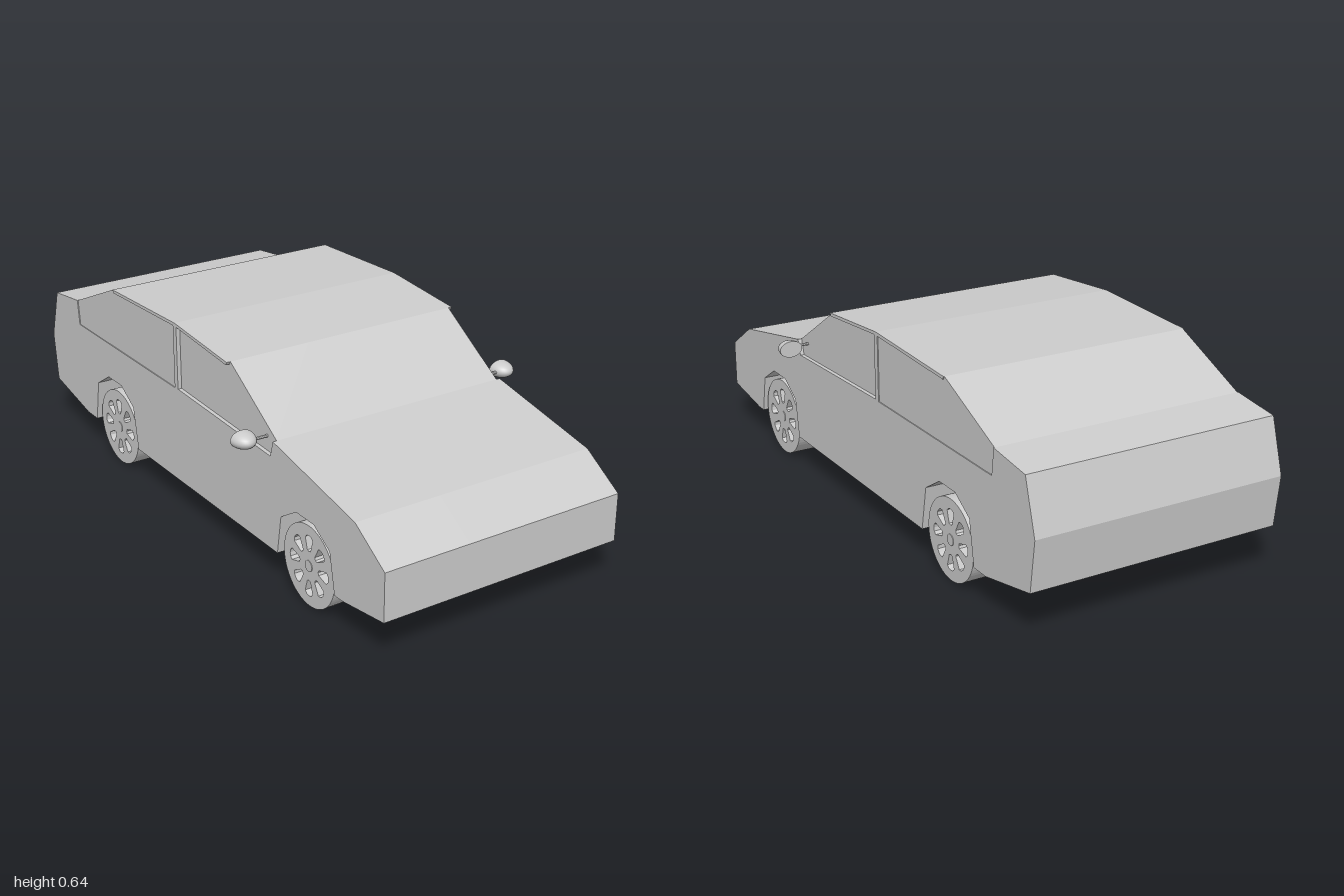
import * as THREE from 'three';

const mat = new THREE.MeshStandardMaterial({ color: 0xcccccc, flatShading: true });
const smooth = new THREE.MeshStandardMaterial({ color: 0xcccccc, side: THREE.DoubleSide });

function add(parent, name, geometry, material = mat) {
  const mesh = new THREE.Mesh(geometry, material);
  mesh.name = name;
  parent.add(mesh);
  return mesh;
}

// Extrude an outline given in (z, y) across the car from x0 to x1
function slab(points, x0, x1) {
  const shape = new THREE.Shape(points.map(([z, y]) => new THREE.Vector2(z, y)));
  const g = new THREE.ExtrudeGeometry(shape, { depth: x1 - x0, bevelEnabled: false });
  return g.rotateY(-Math.PI / 2).translate(x1, 0, 0);
}

const HALF = 0.42, GLASS = 0.407, REAR_GLASS = 0.417, WELL = 0.13;

// Side outline, split so that window openings and wheel arches can be inserted
const nose = [[1, 0.135], [1, 0.29], [0.86, 0.38], [0.45, 0.46]];
const roofFront = [[0.2, 0.62], [-0.11, 0.645]];
const roofRear = [[-0.52, 0.63]];
const tail = [[-0.79, 0.51], [-0.95, 0.49], [-1, 0.32], [-0.98, 0.155], [-0.75, 0.107]];
const frontWindow = [[0.435, 0.409], [-0.1, 0.427], [-0.1, 0.634], [0.195, 0.61]];
const rearWindow = [[-0.515, 0.62], [-0.12, 0.634], [-0.12, 0.425], [-0.78, 0.425]];
const arches = [
  [-0.685, 0.107], [-0.66, 0.25], [-0.58, 0.3], [-0.49, 0.3], [-0.41, 0.25], [-0.385, 0.107],
  [0.47, 0.107], [0.49, 0.235], [0.57, 0.285], [0.66, 0.285], [0.74, 0.235], [0.765, 0.107],
];
const sill = [[0.8, 0.107]];

function makeWheel() {
  const wheel = new THREE.Group();
  const R = 0.13, W = 0.13;
  const shape = new THREE.Shape().absarc(0, 0, R, 0, Math.PI * 2);
  // Eight tapered openings between the spokes
  for (let i = 0; i < 8; i++) {
    const a = (i * Math.PI) / 4;
    const pts = [[0.05, -0.008], [0.088, -0.019], [0.096, -0.011], [0.098, 0],
      [0.096, 0.011], [0.088, 0.019], [0.05, 0.008], [0.047, 0]];
    shape.holes.push(new THREE.Path(pts.map(([r, t]) =>
      new THREE.Vector2(r, t).rotateAround(new THREE.Vector2(), a))));
  }
  const rim = new THREE.ExtrudeGeometry(shape, { depth: W, bevelEnabled: false, curveSegments: 32 });
  add(wheel, 'tyreAndRim', rim.rotateY(Math.PI / 2).translate(-W / 2, 0, 0));
  add(wheel, 'hub', new THREE.CylinderGeometry(0.018, 0.018, W + 0.004, 16).rotateZ(Math.PI / 2));
  return wheel;
}

function makeMirror(side) {
  const mirror = new THREE.Group();
  const housing = add(mirror, 'mirrorHousing', new THREE.SphereGeometry(1, 20, 14, 0, Math.PI), smooth);
  housing.scale.set(0.039, 0.027, 0.055);
  const glass = add(mirror, 'mirrorGlass', new THREE.CircleGeometry(1, 28).rotateY(Math.PI), smooth);
  glass.scale.set(0.039, 0.027, 1);
  const arm = add(mirror, 'mirrorArm',
    new THREE.CylinderGeometry(0.005, 0.005, 0.06, 8).rotateZ(Math.PI / 2));
  arm.position.set(-0.055 * side, 0, 0.025);
  mirror.position.set(0.479 * side, 0.457, 0.375);
  return mirror;
}

export function createModel() {
  const car = new THREE.Group();
  car.name = 'car';

  // Middle of the body, between the wheel wells
  const outline = [...nose, ...roofFront, ...roofRear, ...tail];
  add(car, 'bodyCentre', slab([...outline, ...sill], -WELL, WELL));

  // Layers on each side: body over the wells, front window recess, rear window recess
  const layers = [
    ['bodySide', WELL, GLASS, outline],
    ['frontWindowSurround', GLASS, REAR_GLASS,
      [...nose, ...frontWindow, ...roofFront, ...roofRear, ...tail]],
    ['sideSkin', REAR_GLASS, HALF,
      [...nose, ...frontWindow, ...roofFront, ...roofRear, ...rearWindow, ...tail]],
  ];
  for (const side of [1, -1]) {
    for (const [name, a, b, top] of layers) {
      const [x0, x1] = side > 0 ? [a, b] : [-b, -a];
      add(car, name, slab([...top, ...arches, ...sill], x0, x1));
    }
    const mirror = makeMirror(side);
    mirror.name = side > 0 ? 'leftMirror' : 'rightMirror';
    car.add(mirror);

    for (const [name, z] of [['frontWheel', 0.62], ['rearWheel', -0.535]]) {
      const wheel = makeWheel();
      wheel.name = name;
      wheel.position.set(0.344 * side, 0.13, z);
      car.add(wheel);
    }
  }
  return car;
}
